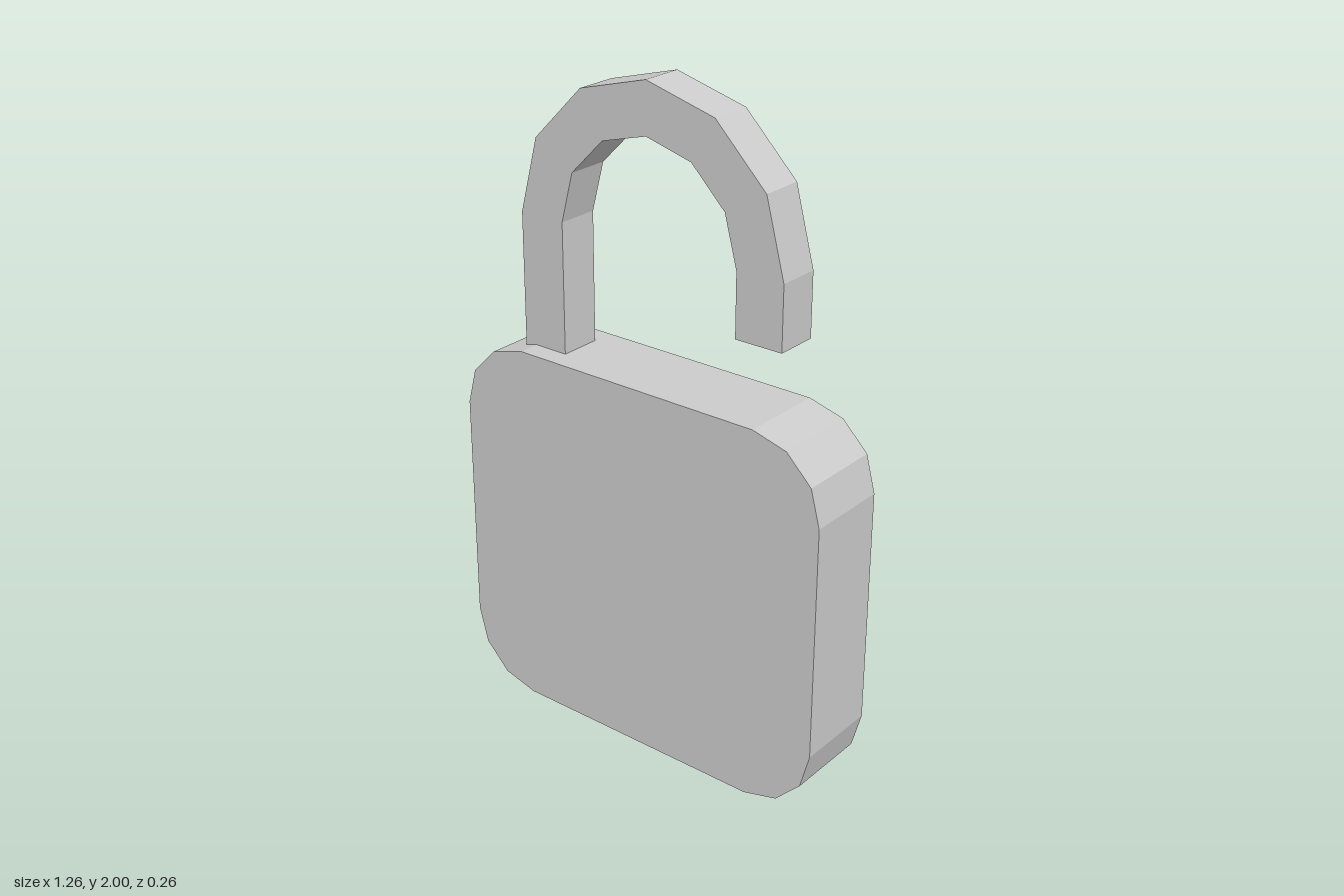
import * as THREE from 'three';

const material = new THREE.MeshStandardMaterial({ color: 0xcccccc, flatShading: true });

// Points along a circular arc, angles in degrees
function arc(cx, cy, r, from, to, steps) {
  return Array.from({ length: steps + 1 }, (_, i) => {
    const a = THREE.MathUtils.degToRad(from + ((to - from) * i) / steps);
    return new THREE.Vector2(cx + r * Math.cos(a), cy + r * Math.sin(a));
  });
}

// Flat plate of the given outline, centred on z = 0
function plate(name, points, depth) {
  const geometry = new THREE.ExtrudeGeometry(new THREE.Shape(points), { depth, bevelEnabled: false });
  geometry.translate(0, 0, -depth / 2);
  const mesh = new THREE.Mesh(geometry, material);
  mesh.name = name;
  return mesh;
}

export function createModel() {
  const group = new THREE.Group();
  group.name = 'openPadlock';

  // Body: rectangle with three-sided rounded corners
  const halfWidth = 0.63, height = 1.155, r = 0.22;
  const x = halfWidth - r;
  group.add(plate('body', [
    ...arc(x, r, r, -90, 0, 3),
    ...arc(x, height - r, r, 0, 90, 3),
    ...arc(-x, height - r, r, 90, 180, 3),
    ...arc(-x, r, r, 180, 270, 3),
  ], 0.26));

  // Shackle: long leg sunk into the body, short leg hanging free
  const outer = 0.45, inner = 0.3, centreY = 1.55, freeEnd = 1.36, fixedEnd = 1.1;
  group.add(plate('shackle', [
    new THREE.Vector2(outer, freeEnd),
    ...arc(0, centreY, outer, 0, 180, 6),
    new THREE.Vector2(-outer, fixedEnd),
    new THREE.Vector2(-inner, fixedEnd),
    ...arc(0, centreY, inner, 180, 0, 6),
    new THREE.Vector2(inner, freeEnd),
  ], 0.13));

  return group;
}
